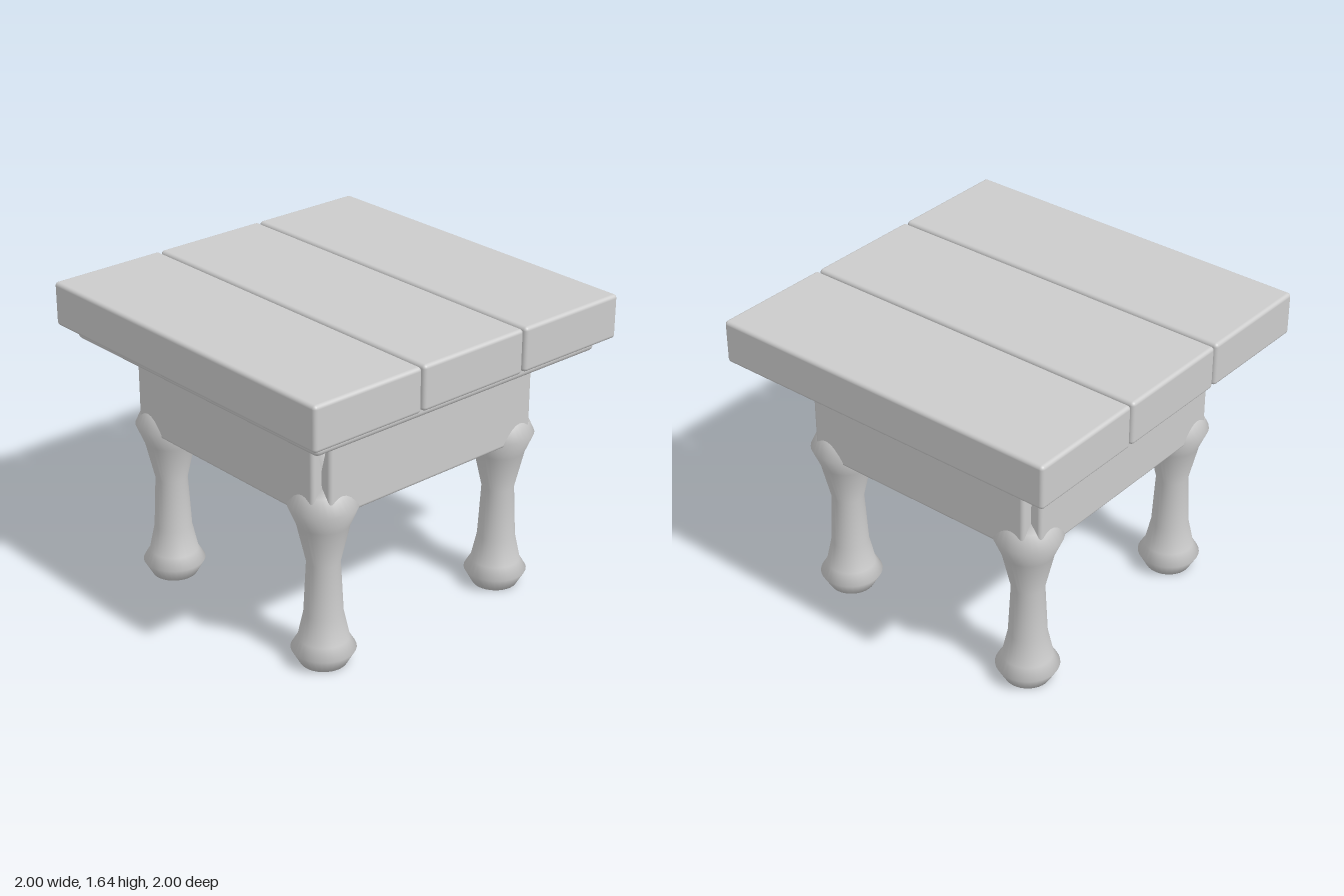
import * as THREE from 'three';
import { RoundedBoxGeometry } from 'three/addons/geometries/RoundedBoxGeometry.js';

const material = new THREE.MeshStandardMaterial({ color: 0xcccccc });

// Rounded board given its size and centre
function board(name, [w, h, d], [x, y, z], radius = 0.02) {
  const mesh = new THREE.Mesh(new RoundedBoxGeometry(w, h, d, 3, radius), material);
  mesh.name = name;
  mesh.position.set(x, y, z);
  return mesh;
}

export function createModel() {
  const model = new THREE.Group();
  model.name = 'table';

  // Three thick planks form the top
  for (let i = -1; i <= 1; i++) {
    model.add(board('topPlank', [2, 0.235, 0.658], [0, 1.5275, i * 0.671]));
  }

  // Slab beneath the planks
  model.add(board('underTop', [1.86, 0.18, 1.86], [0, 1.43, 0], 0.03));

  // Four apron panels, leaving a notch at each corner
  for (let i = 0; i < 4; i++) {
    const side = new THREE.Group();
    side.name = 'apronSide';
    side.rotation.y = i * Math.PI / 2;
    side.add(board('apronPanel', [1.36, 0.46, 0.19], [0, 1.09, 0.645]));
    model.add(side);
  }

  // Turned legs: flared foot, slim shaft, knob, neck and flared head
  const profile = [
    [0, 0], [0.12, 0], [0.165, 0.08], [0.13, 0.14], [0.1, 0.28], [0.085, 0.565],
    [0.133, 0.775], [0.177, 0.88], [0.137, 0.965], [0.094, 1.04], [0.137, 1.25], [0, 1.25],
  ].map(([r, y]) => new THREE.Vector2(r, y));
  const legGeometry = new THREE.LatheGeometry(profile, 32);
  for (const x of [-1, 1]) {
    for (const z of [-1, 1]) {
      const leg = new THREE.Mesh(legGeometry, material);
      leg.name = (z > 0 ? 'front' : 'back') + (x > 0 ? 'Left' : 'Right') + 'Leg';
      leg.position.set(x * 0.604, 0, z * 0.604);
      model.add(leg);
    }
  }
  return model;
}
